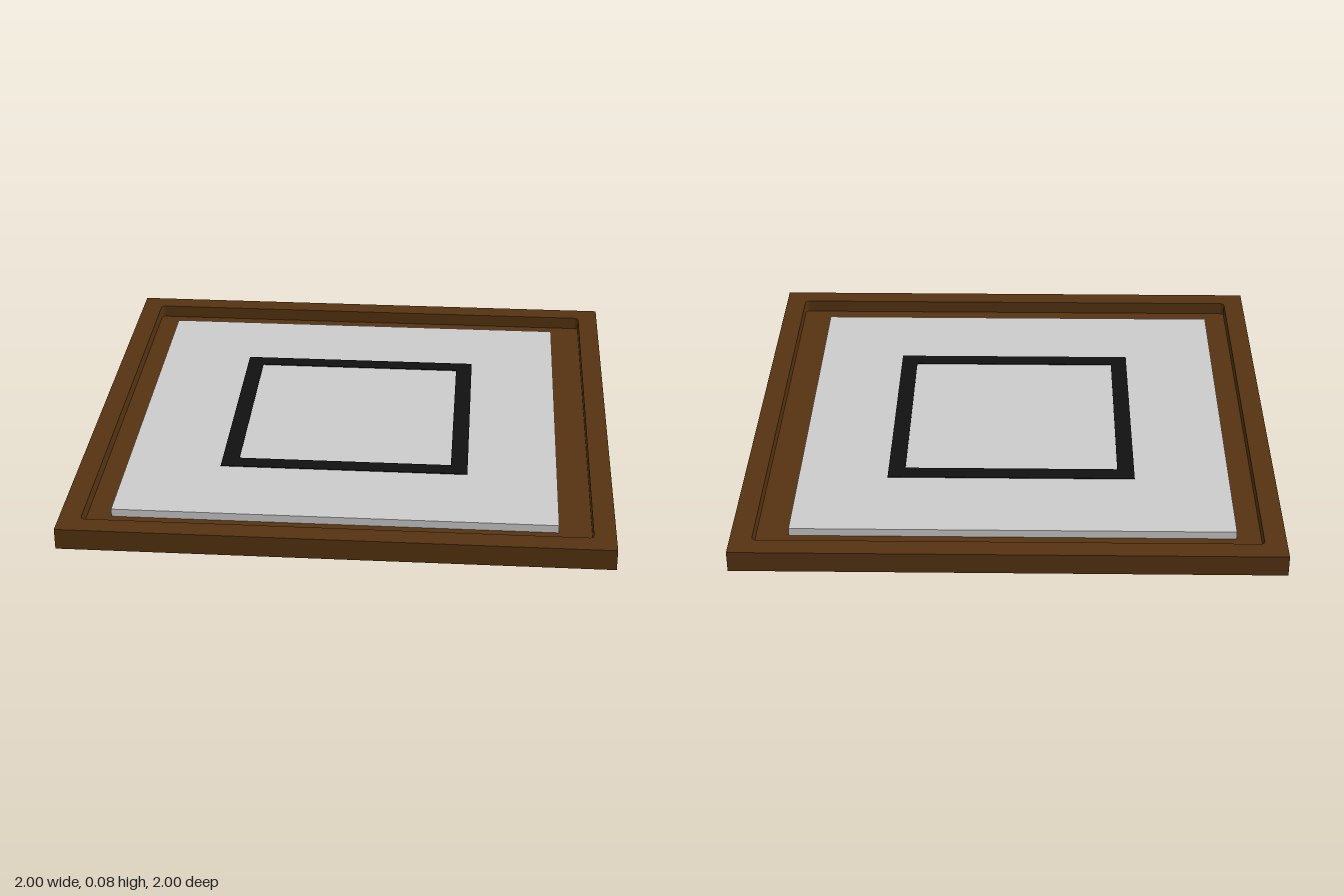
import * as THREE from 'three';

const wood = new THREE.MeshStandardMaterial({ color: 0x553311 });
const grey = new THREE.MeshStandardMaterial({ color: 0xcccccc });
const black = new THREE.MeshStandardMaterial({ color: 0x111111 });

// Square outline with optional corner rounding
function square(path, half, r = 0) {
  if (!r) {
    path.moveTo(-half, -half);
    path.lineTo(half, -half);
    path.lineTo(half, half);
    path.lineTo(-half, half);
    path.closePath();
    return path;
  }
  const c = half - r;
  path.absarc(c, c, r, 0, Math.PI / 2);
  path.absarc(-c, c, r, Math.PI / 2, Math.PI);
  path.absarc(-c, -c, r, Math.PI, Math.PI * 1.5);
  path.absarc(c, -c, r, Math.PI * 1.5, Math.PI * 2);
  path.closePath();
  return path;
}

// Flat square ring lying on the ground plane, from y = 0 up to the given height
function ring(outer, inner, height, r) {
  const shape = square(new THREE.Shape(), outer);
  shape.holes.push(square(new THREE.Path(), inner, r));
  const geo = new THREE.ExtrudeGeometry(shape, { depth: height, bevelEnabled: false, curveSegments: 4 });
  return geo.rotateX(-Math.PI / 2);
}

export function createModel() {
  const group = new THREE.Group();
  const add = (name, geo, mat, x, y, z) => {
    const mesh = new THREE.Mesh(geo, mat);
    mesh.name = name;
    mesh.position.set(x, y, z);
    group.add(mesh);
  };

  // Shallow wooden tray: base and raised rim
  add('trayBase', new THREE.BoxGeometry(2, 0.03, 2), wood, 0, 0.015, 0);
  add('trayRim', ring(1, 0.92, 0.05, 0.015), wood, 0, 0.03, 0);

  // Thin panel resting in the tray, slightly off centre
  add('panel', new THREE.BoxGeometry(1.63, 0.03, 1.63), grey, -0.015, 0.045, -0.003);

  // Dark square border on the panel
  add('squareBorder', ring(0.468, 0.404, 0.003), black, -0.005, 0.06, -0.003);

  return group;
}
